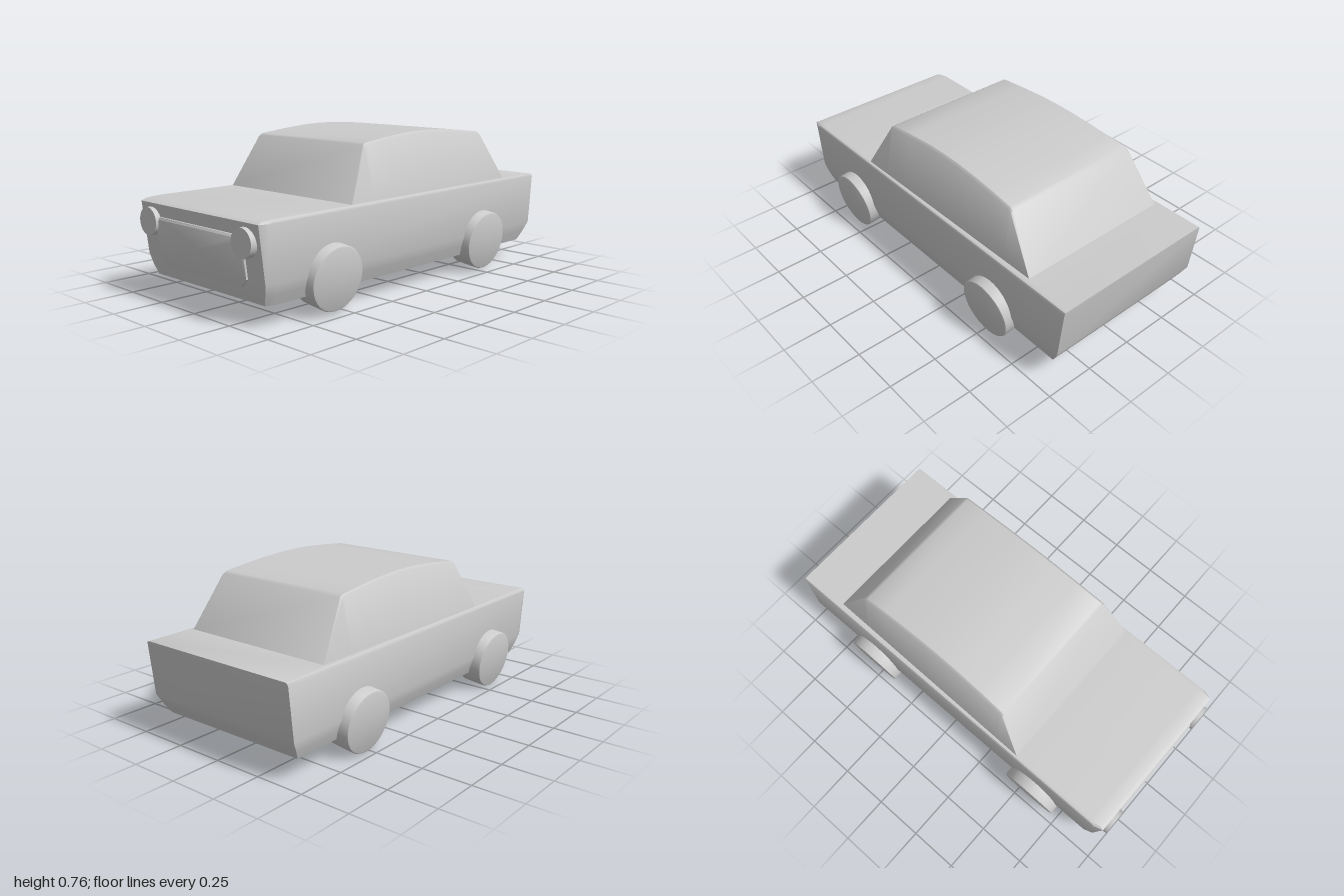
import * as THREE from 'three';
import { toCreasedNormals } from 'three/addons/utils/BufferGeometryUtils.js';

const material = new THREE.MeshStandardMaterial({ color: 0xcccccc, side: THREE.DoubleSide });

// Skin a list of equal-length rings of [x, y, z] points
function loft(rings, closed, crease = 0.7) {
  const n = rings[0].length;
  const index = [];
  for (let i = 0; i < rings.length - 1; i++) {
    for (let j = 0; j < (closed ? n : n - 1); j++) {
      const k = (j + 1) % n;
      const a = i * n + j, b = i * n + k, c = b + n, d = a + n;
      index.push(a, b, c, a, c, d);
    }
  }
  const geo = new THREE.BufferGeometry();
  geo.setAttribute('position', new THREE.Float32BufferAttribute(rings.flat(2), 3));
  geo.setIndex(index);
  return toCreasedNormals(geo, crease);
}

function addMesh(parent, name, geometry) {
  const mesh = new THREE.Mesh(geometry, material);
  mesh.name = name;
  parent.add(mesh);
  return mesh;
}

// Horizontal body outline with chamfered front corners and square rear corners
function bodyRing(y, x, front, back, inset = 0.015, chamfer = 0.045) {
  const side = front - chamfer;
  return [
    [-x + inset, y, front], [x - inset, y, front], [x, y, side],
    [x, y, back], [-x, y, back], [-x, y, side],
  ];
}

// Open-bottomed lower body with bonnet and boot decks
function bodyGeometry() {
  const cabinOpening = [
    [-0.425, 0.47, 0.44], [0.425, 0.47, 0.44], [0.425, 0.47, 0.44],
    [0.41, 0.47, -0.75], [-0.41, 0.47, -0.75], [-0.425, 0.47, 0.44],
  ];
  return loft([
    bodyRing(0.10, 0.405, 0.92, -0.915),
    bodyRing(0.15, 0.425, 0.934, -0.945),
    bodyRing(0.20, 0.44, 0.945, -0.972),
    bodyRing(0.455, 0.44, 0.977, -0.998),
    bodyRing(0.466, 0.436, 0.955, -1.0),
    bodyRing(0.47, 0.428, 0.905, -1.0),
    cabinOpening,
  ], true);
}

// Cabin shell: cross-sections from windscreen base over the roof to the boot
function cabinGeometry() {
  const profile = [
    [0.44, 0.47], [0.305, 0.722], [0.29, 0.731], [0.15, 0.747], [0, 0.76],
    [-0.1, 0.763], [-0.2, 0.762], [-0.33, 0.755], [-0.45, 0.744],
    [-0.565, 0.731], [-0.585, 0.72], [-0.75, 0.47],
  ];
  const sections = profile.map(([z, y]) => {
    const base = 0.425 - 0.015 * (0.44 - z) / 1.19;
    const t = (y - 0.47) / 0.29;
    const w = base - (base - 0.367) * t;
    const bevel = 0.012 * Math.min(t, 1);
    return [
      [-base, 0.47, z], [-w, y - bevel, z], [-w + bevel, y, z],
      [w - bevel, y, z], [w, y - bevel, z], [base, 0.47, z],
    ];
  });
  return loft(sections, false);
}

// Raised grille panel following the slope of the nose
function grilleGeometry() {
  const ring = (x, y0, y1, cut, offset) => [
    [-x + cut, y0], [x - cut, y0], [x, y0 + cut], [x, y1 - cut],
    [x - cut, y1], [-x + cut, y1], [-x, y1 - cut], [-x, y0 + cut],
  ].map(([px, py]) => [px, py, 0.945 + (py - 0.2) * 0.125 + offset]);
  return loft([
    ring(0.315, 0.165, 0.395, 0.04, -0.01),
    ring(0.315, 0.165, 0.395, 0.04, 0.01),
    ring(0.29, 0.2, 0.385, 0.02, 0.018),
    ring(0, 0.29, 0.29, 0, 0.018),
  ], true);
}

// Wheel drum, open on the inner side with a slightly rounded outer edge
function wheelGeometry() {
  const profile = [[0.152, 0], [0.152, 0.112], [0.149, 0.118], [0.142, 0.121], [0, 0.121]]
    .map(([r, h]) => new THREE.Vector2(r, h));
  return toCreasedNormals(new THREE.LatheGeometry(profile, 40), 0.7);
}

export function createModel() {
  const car = new THREE.Group();
  car.name = 'car';

  addMesh(car, 'body', bodyGeometry());
  addMesh(car, 'cabin', cabinGeometry());
  addMesh(car, 'grille', grilleGeometry());

  // Headlights
  const lampGeometry = new THREE.CylinderGeometry(0.066, 0.066, 0.1, 40).rotateX(Math.PI / 2);
  addMesh(car, 'leftHeadlight', lampGeometry).position.set(0.336, 0.37, 0.947);
  addMesh(car, 'rightHeadlight', lampGeometry).position.set(-0.345, 0.37, 0.947);

  // Wheels, leaning outward at the top
  const wheel = wheelGeometry();
  const camber = THREE.MathUtils.degToRad(97);
  for (const [end, z] of [['front', 0.572], ['rear', -0.525]]) {
    const left = addMesh(car, end + 'LeftWheel', wheel);
    left.position.set(0.356, 0.179, z);
    left.rotation.z = -camber;
    const right = addMesh(car, end + 'RightWheel', wheel);
    right.position.set(-0.361, 0.167, z);
    right.rotation.z = camber;
  }
  return car;
}
